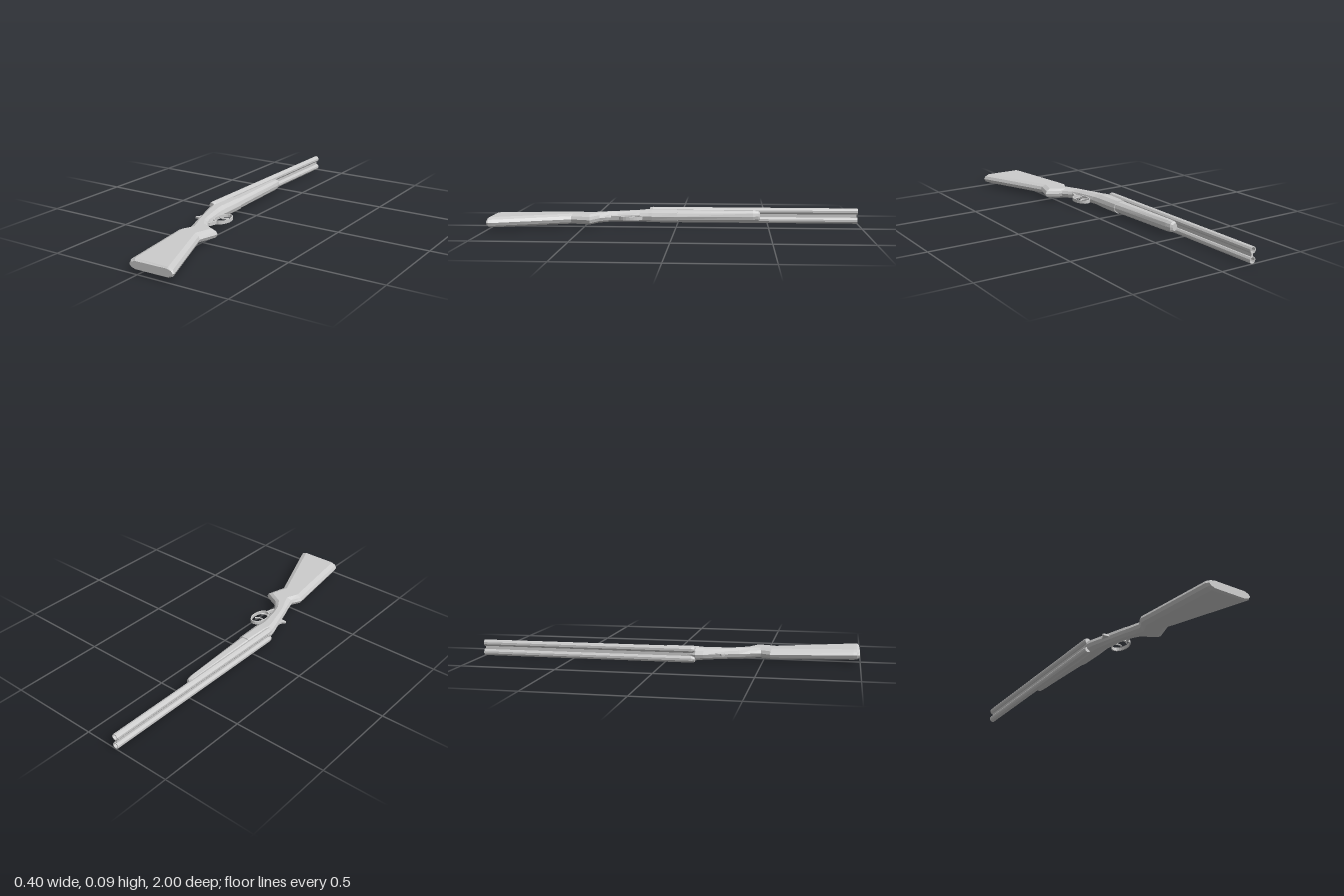
import * as THREE from 'three';

const MID = 0.045; // mid-plane height of the piece lying on its side
const mat = new THREE.MeshStandardMaterial({ color: 0xcccccc, flatShading: true });

function add(group, name, geometry) {
  const mesh = new THREE.Mesh(geometry, mat);
  mesh.name = name;
  group.add(mesh);
  return mesh;
}

// Loft of chamfered sections: [topX, topZ, undersideX, undersideZ, halfThickness]
function loft(sections) {
  const pos = [], index = [];
  const N = 10;
  sections.forEach(([ax, az, bx, bz, h]) => {
    const w = Math.hypot(bx - ax, bz - az);
    const c = Math.min(0.033, w * 0.3) / w;
    const ring = [
      [c, -1], [1 - c, -1], [1 - c * 0.25, -0.6], [1, 0], [1 - c * 0.25, 0.6],
      [1 - c, 1], [c, 1], [c * 0.25, 0.6], [0, 0], [c * 0.25, -0.6],
    ];
    for (const [t, v] of ring) pos.push(ax + (bx - ax) * t, MID + v * h, az + (bz - az) * t);
  });
  const last = (sections.length - 1) * N;
  for (let i = 0; i < last; i += N) {
    for (let j = 0; j < N; j++) {
      const k = (j + 1) % N;
      index.push(i + j, i + k, i + N + j, i + k, i + N + k, i + N + j);
    }
  }
  for (let j = 1; j < N - 1; j++) {
    index.push(0, j + 1, j, last, last + j, last + j + 1);
  }
  const g = new THREE.BufferGeometry();
  g.setAttribute('position', new THREE.Float32BufferAttribute(pos, 3));
  g.setIndex(index);
  const flat = g.toNonIndexed();
  flat.computeVertexNormals();
  return flat;
}

// Flat plate drawn in (x, z) and thickened evenly about the mid-plane
function plate(shape, thickness) {
  const g = new THREE.ExtrudeGeometry(shape, { depth: thickness, bevelEnabled: false, curveSegments: 10 });
  g.rotateX(-Math.PI / 2);
  g.translate(0, MID - thickness / 2, 0);
  return g;
}
const outline = (pts) => new THREE.Shape(pts.map(([x, z]) => new THREE.Vector2(x, -z)));

export function createModel() {
  const gun = new THREE.Group();
  gun.name = 'doubleBarrelGun';

  // Two hollow barrels with a web between them
  for (const side of [-1, 1]) {
    const profile = [[0, -0.88], [0.014, -0.88], [0.014, -1], [0.018, -1], [0.0185, 0.14], [0.015, 0.157], [0, 0.157]];
    const g = new THREE.LatheGeometry(profile.map(([r, z]) => new THREE.Vector2(r, z)), 10);
    g.rotateX(Math.PI / 2);
    add(gun, side > 0 ? 'upperBarrel' : 'lowerBarrel', g).position.set(-0.185, MID + side * 0.025, 0);
  }
  const web = new THREE.BoxGeometry(0.01, 0.02, 1.14);
  add(gun, 'barrelWeb', web).position.set(-0.185, MID, -0.425);

  // Fore-end with a rounded tip
  add(gun, 'foreEnd', loft([
    [-0.172, -0.457, -0.142, -0.459, 0.02],
    [-0.175, -0.45, -0.13, -0.45, 0.027],
    [-0.178, -0.42, -0.124, -0.42, 0.03],
    [-0.18, 0.01, -0.099, 0.01, 0.031],
  ]));

  // Receiver tapering into the wrist
  add(gun, 'receiver', loft([
    [-0.183, 0, -0.096, 0, 0.035],
    [-0.192, 0.14, -0.091, 0.14, 0.035],
    [-0.197, 0.16, -0.091, 0.16, 0.034],
    [-0.187, 0.2, -0.09, 0.21, 0.03],
  ]));

  // Stock: wrist, pistol grip and butt
  add(gun, 'stock', loft([
    [-0.187, 0.2, -0.09, 0.21, 0.03],
    [-0.14, 0.335, -0.07, 0.33, 0.0275],
    [-0.126, 0.38, -0.055, 0.37, 0.0275],
    [-0.105, 0.44, -0.016, 0.42, 0.0275],
    [-0.09, 0.49, 0.067, 0.462, 0.0275],
    [-0.117, 0.54, 0.037, 0.57, 0.0275],
    [-0.06, 0.965, 0.194, 0.965, 0.0275],
    [-0.057, 0.982, 0.201, 0.984, 0.0265],
    [-0.045, 0.998, 0.198, 0.992, 0.02],
  ]));

  // Trigger guard loop and its tail
  const loop = new THREE.Shape();
  loop.absellipse(-0.044, -0.252, 0.042, 0.066, 0, Math.PI * 2);
  const hole = new THREE.Path();
  hole.absellipse(-0.044, -0.252, 0.036, 0.06, 0, Math.PI * 2, true);
  loop.holes.push(hole);
  add(gun, 'triggerGuard', plate(loop, 0.018));
  add(gun, 'guardTail', plate(outline([[-0.05, 0.312], [-0.04, 0.315], [-0.054, 0.362], [-0.068, 0.365]]), 0.018));

  // Two curved triggers
  for (const z of [0.225, 0.275]) {
    const curve = new THREE.QuadraticBezierCurve3(
      new THREE.Vector3(-0.1, MID, z - 0.005),
      new THREE.Vector3(-0.05, MID, z + 0.045),
      new THREE.Vector3(-0.025, MID, z + 0.005));
    add(gun, 'trigger', new THREE.TubeGeometry(curve, 8, 0.0045, 6));
  }

  // Opening lever on top of the wrist
  add(gun, 'topLever', plate(outline([[-0.16, 0.24], [-0.13, 0.3], [-0.152, 0.31], [-0.183, 0.308], [-0.184, 0.297], [-0.17, 0.285]]), 0.01));

  return gun;
}
